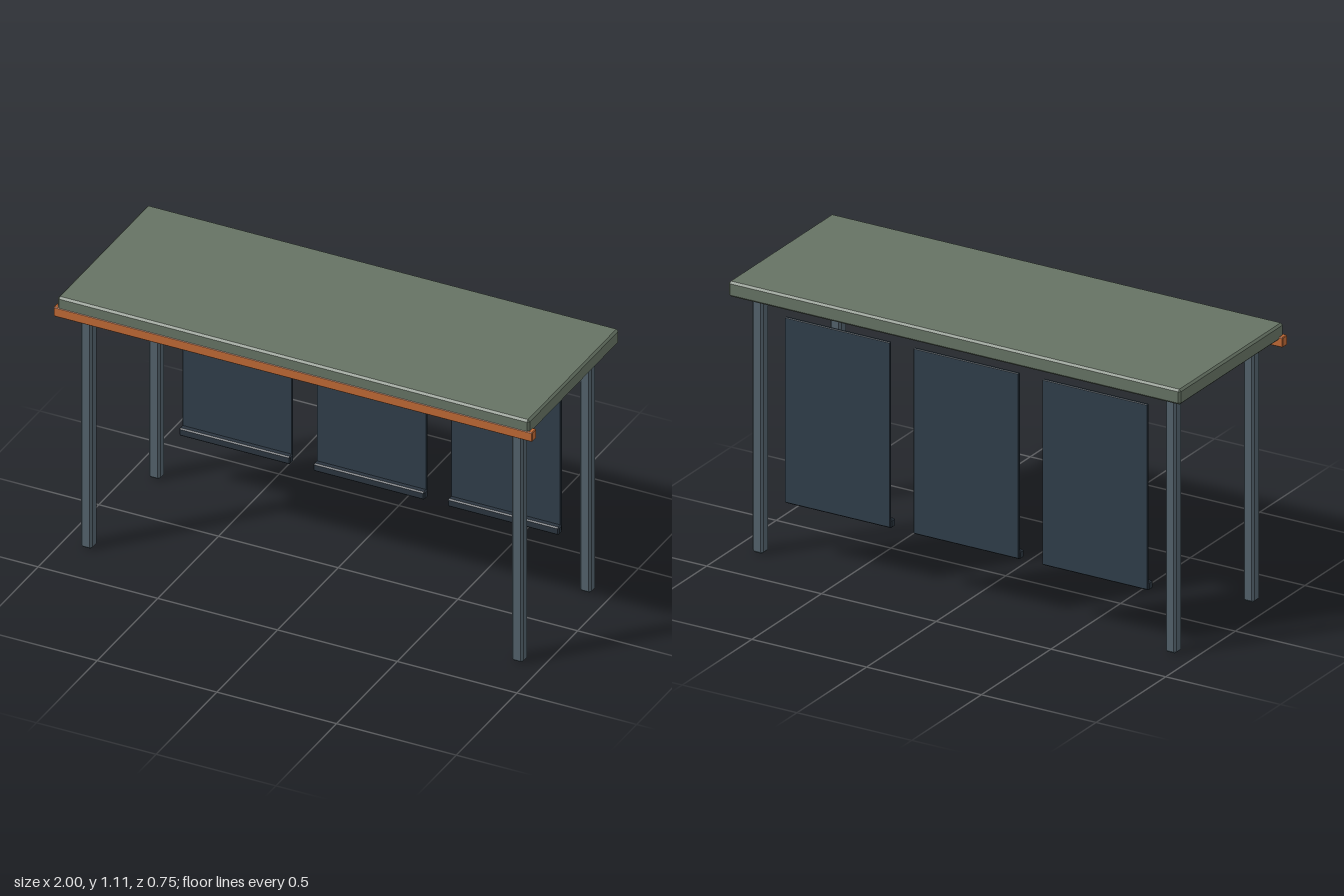
import * as THREE from 'three';
import { ConvexGeometry } from 'three/addons/geometries/ConvexGeometry.js';

// Box with flat chamfers of width c on every edge
function chamferBox(w, h, d, c) {
  const half = [w / 2, h / 2, d / 2];
  const points = [];
  for (const sx of [-1, 1]) for (const sy of [-1, 1]) for (const sz of [-1, 1]) {
    for (let axis = 0; axis < 3; axis++) {
      const p = half.map((v, i) => (i === axis ? v : v - c));
      points.push(new THREE.Vector3(p[0] * sx, p[1] * sy, p[2] * sz));
    }
  }
  return new ConvexGeometry(points);
}

export function createModel() {
  const model = new THREE.Group();
  model.name = 'canopy';

  const material = (name, color) => {
    const m = new THREE.MeshStandardMaterial({ color });
    m.name = name;
    return m;
  };
  const green = material('sage green', 0x657263);
  const orange = material('burnt orange', 0xbd6835);
  const steel = material('slate steel', 0x52616b);
  const navy = material('dark navy', 0x2f3d49);
  const dark = material('charcoal blue', 0x2a343e);

  const add = (name, geometry, mat, x, y, z, parent = model) => {
    const mesh = new THREE.Mesh(geometry, mat);
    mesh.name = name;
    mesh.position.set(x, y, z);
    parent.add(mesh);
    return mesh;
  };

  // Roof slab and the trim bar under its front edge
  add('roof', chamferBox(1.97, 0.062, 0.744, 0.008), green, 0, 1.081, 0);
  add('frontTrim', chamferBox(2, 0.041, 0.035, 0.003), orange, 0, 1.0445, 0.3565);

  // Four corner posts
  const postGeometry = chamferBox(0.047, 1.052, 0.047, 0.008);
  for (const x of [-0.9, 0.9]) for (const z of [-0.28, 0.28]) {
    add(`${z > 0 ? 'front' : 'back'}${x > 0 ? 'Left' : 'Right'}Post`, postGeometry, steel, x, 0.526, z);
  }

  // Hanging blinds along the back, each with a weighted bottom rail
  const blindGeometry = chamferBox(0.458, 0.752, 0.012, 0.002);
  const railGeometry = chamferBox(0.465, 0.034, 0.03, 0.005);
  for (const x of [-0.561, 0, 0.561]) {
    const blind = new THREE.Group();
    blind.name = 'blind';
    blind.position.x = x;
    add('blindPanel', blindGeometry, navy, 0, 0.602, -0.28, blind);
    add('blindRail', railGeometry, dark, 0, 0.238, -0.266, blind);
    model.add(blind);
  }

  return model;
}
